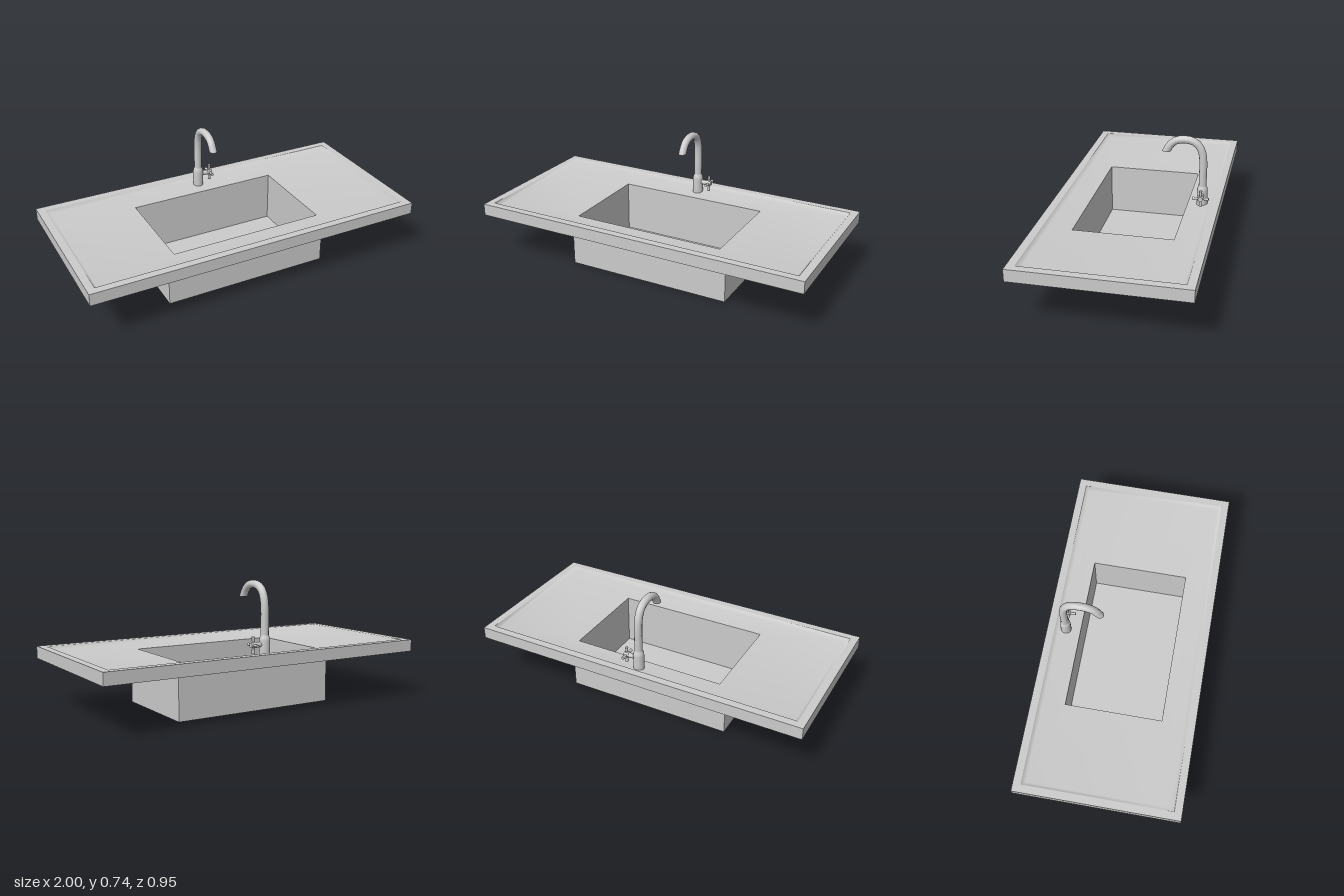
import * as THREE from 'three';

const material = new THREE.MeshStandardMaterial({ color: 0xcccccc, side: THREE.DoubleSide });
const FAUCET_Z = -0.368;

function add(parent, name, geometry, x = 0, y = 0, z = 0) {
  const mesh = new THREE.Mesh(geometry, material);
  mesh.name = name;
  mesh.position.set(x, y, z);
  parent.add(mesh);
  return mesh;
}

// Skin through rectangular rings, each given as [half width, half depth, height]
function rectRings(rings, smooth = false) {
  const corners = [[1, 1], [1, -1], [-1, -1], [-1, 1]];
  const positions = [], index = [];
  for (const [hx, hz, y] of rings)
    for (const [sx, sz] of corners) positions.push(sx * hx, y, sz * hz);
  for (let r = 0; r < rings.length - 1; r++)
    for (let i = 0; i < 4; i++) {
      const a = r * 4 + i, b = r * 4 + (i + 1) % 4;
      index.push(a, b, b + 4, a, b + 4, a + 4);
    }
  let geometry = new THREE.BufferGeometry();
  geometry.setAttribute('position', new THREE.Float32BufferAttribute(positions, 3));
  geometry.setIndex(index);
  if (!smooth) geometry = geometry.toNonIndexed();
  geometry.computeVertexNormals();
  return geometry;
}

// Swan-neck spout whose mouth is cut level
function spoutGeometry() {
  const points = [[-0.368, 0.42], [-0.368, 0.5], [-0.368, 0.58], [-0.36, 0.64], [-0.339, 0.683],
    [-0.303, 0.707], [-0.258, 0.713], [-0.21, 0.704], [-0.177, 0.677], [-0.155, 0.637]]
    .map(([z, y]) => new THREE.Vector3(0, y, z));
  const curve = new THREE.CatmullRomCurve3(points);
  const segments = 18, sides = 12;
  const geometry = new THREE.TubeGeometry(curve, segments, 0.0225, sides);
  const p = geometry.attributes.position, end = curve.getTangent(1);
  for (let i = segments * (sides + 1); i < p.count; i++) {
    const t = (0.637 - p.getY(i)) / end.y;
    p.setXYZ(i, p.getX(i) + end.x * t, 0.637, p.getZ(i) + end.z * t);
  }
  return geometry;
}

export function createModel() {
  const model = new THREE.Group();
  model.name = 'sink';

  // Basin box, countertop underside, edge and flat rim
  add(model, 'basinAndCounter', rectRings([
    [0, 0, 0], [0.495, 0.29, 0], [0.495, 0.29, 0.28],
    [1, 0.475, 0.28], [1, 0.475, 0.35], [0.955, 0.43, 0.35],
  ]));

  // Sloping drainer with a softly shaded lip
  add(model, 'drainer', rectRings([
    [0.955, 0.43, 0.35], [0.935, 0.408, 0.33], [0.455, 0.282, 0.313],
  ], true));

  // Inside of the basin
  add(model, 'basinInside', rectRings([
    [0.455, 0.282, 0.313], [0.455, 0.282, 0.008], [0, 0, 0.008],
  ]));

  const faucet = new THREE.Group();
  faucet.name = 'faucet';
  model.add(faucet);

  // Faucet body, tapering into the spout
  const body = [[0.031, 0.318], [0.031, 0.41], [0.029, 0.425], [0.0225, 0.44]]
    .map(([r, y]) => new THREE.Vector2(r, y));
  add(faucet, 'faucetBody', new THREE.LatheGeometry(body, 16), 0, 0, FAUCET_Z);
  add(faucet, 'spout', spoutGeometry());
  const mouth = add(faucet, 'spoutMouth', new THREE.CircleGeometry(0.0225, 12), 0, 0.638, -0.155);
  mouth.rotation.x = Math.PI / 2;
  mouth.scale.y = 1.15;

  // Cross handle on the model's left
  const handle = new THREE.Group();
  handle.name = 'handle';
  handle.position.set(0, 0.39, FAUCET_Z);
  faucet.add(handle);
  add(handle, 'handleStem', new THREE.CylinderGeometry(0.014, 0.014, 0.065, 12), 0.0325).rotation.z = -Math.PI / 2;
  add(handle, 'handleHub', new THREE.CylinderGeometry(0.014, 0.017, 0.03, 12), 0.076).rotation.z = -Math.PI / 2;
  for (let i = 0; i < 4; i++) {
    const a = i * Math.PI / 2;
    const spoke = add(handle, 'handleSpoke', new THREE.CylinderGeometry(0.009, 0.006, 0.047, 8),
      0.076, Math.cos(a) * 0.0235, Math.sin(a) * 0.0235);
    spoke.rotation.x = a;
  }
  return model;
}
